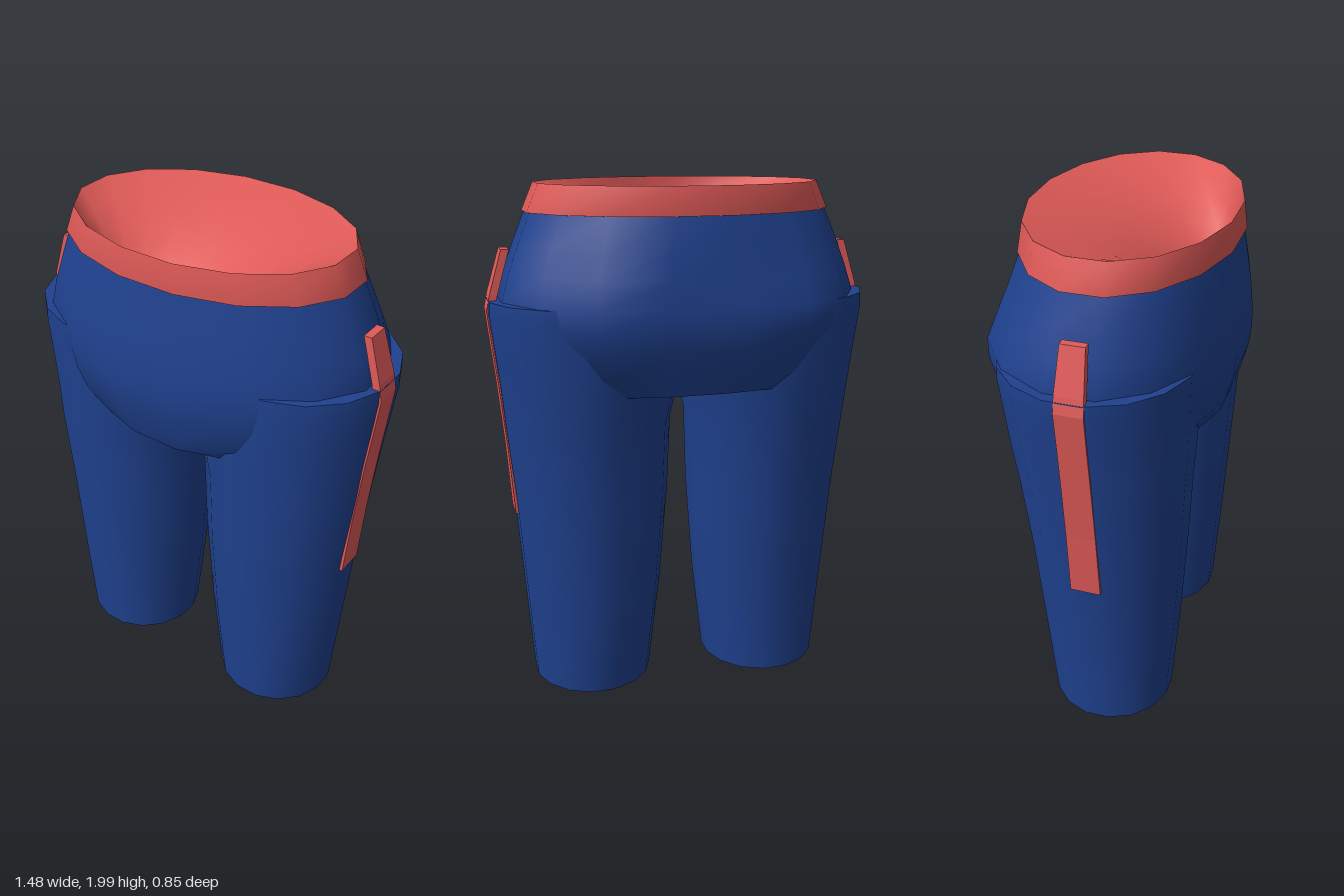
import * as THREE from 'three';

const SIDES = 16;

// Smooth surface through oval sections: [y, xMin, xMax, zBack, zFront, tilt, flatBack]
// tilt lifts the front edge; flatBack > 1 widens and flattens the back of the oval
// caps are separate so their edges stay sharp
function loft(sections, { capTop = false, capBottom = false } = {}) {
  const pos = [], index = [];
  const ring = ([y, x0, x1, z0, z1, tilt = 0, flatBack = 1]) => {
    const k = 1 / Math.cos(Math.PI / SIDES);
    for (let i = 0; i < SIDES; i++) {
      const a = ((i + 0.5) / SIDES) * Math.PI * 2;
      const c = Math.cos(a) * k;
      let s = Math.sin(a) * k;
      if (s < 0) s = Math.max(-1, s * flatBack);
      pos.push((x0 + x1) / 2 + (c * (x1 - x0)) / 2, y + tilt * s, (z0 + z1) / 2 + (s * (z1 - z0)) / 2);
    }
  };
  sections.forEach(ring);
  for (let j = 0; j < sections.length - 1; j++) {
    for (let i = 0; i < SIDES; i++) {
      const n = (i + 1) % SIDES, p = j * SIDES, q = p + SIDES;
      index.push(p + i, q + i, p + n, p + n, q + i, q + n);
    }
  }
  const cap = (section, up) => {
    const base = pos.length / 3;
    ring(section);
    for (let i = 1; i < SIDES - 1; i++) {
      index.push(base, base + (up ? i + 1 : i), base + (up ? i : i + 1));
    }
  };
  if (capBottom) cap(sections[0], false);
  if (capTop) cap(sections[sections.length - 1], true);
  const g = new THREE.BufferGeometry();
  g.setAttribute('position', new THREE.Float32BufferAttribute(pos, 3));
  g.setIndex(index);
  g.computeVertexNormals();
  return g;
}

// Bent strip with a rectangular section: rows of [y, outerX, zBack, zFront]
function strip(rows, thickness) {
  const pos = [], index = [];
  for (const [y, x, z0, z1] of rows) {
    pos.push(x, y, z0, x, y, z1, x - thickness, y, z1, x - thickness, y, z0);
  }
  for (let j = 0; j < rows.length - 1; j++) {
    for (let i = 0; i < 4; i++) {
      const n = (i + 1) % 4, p = j * 4, q = p + 4;
      index.push(p + i, q + i, p + n, p + n, q + i, q + n);
    }
  }
  const e = (rows.length - 1) * 4;
  index.push(0, 1, 2, 0, 2, 3, e, e + 2, e + 1, e, e + 3, e + 2);
  const indexed = new THREE.BufferGeometry();
  indexed.setAttribute('position', new THREE.Float32BufferAttribute(pos, 3));
  indexed.setIndex(index);
  const g = indexed.toNonIndexed();
  g.computeVertexNormals();
  return g;
}

// Mirror across x = 0, keeping faces outward
function mirrorX(geometry) {
  const g = geometry.index ? geometry.toNonIndexed() : geometry.clone();
  g.scale(-1, 1, 1);
  for (const name of ['position', 'normal']) {
    const a = g.attributes[name];
    for (let t = 0; t < a.count; t += 3) {
      const b = [a.getX(t + 1), a.getY(t + 1), a.getZ(t + 1)];
      a.setXYZ(t + 1, a.getX(t + 2), a.getY(t + 2), a.getZ(t + 2));
      a.setXYZ(t + 2, ...b);
    }
  }
  return g;
}

export function createModel() {
  const model = new THREE.Group();
  model.name = 'trousers';
  const blue = new THREE.MeshStandardMaterial({ name: 'blue cloth', color: 0x1f418e, side: THREE.DoubleSide });
  const red = new THREE.MeshStandardMaterial({ name: 'red trim', color: 0xde5a57, side: THREE.DoubleSide });
  const add = (name, geometry, material) => {
    const mesh = new THREE.Mesh(geometry, material);
    mesh.name = name;
    model.add(mesh);
  };
  const even = (y, x, z0, z1, flatBack) => [y, -x, x, z0, z1, 0, flatBack];

  // Hips, bulging over the legs and ending in a flat crotch
  add('hips', loft([
    even(1.25, 0.49, -0.355, 0.37, 1.1),
    even(1.32, 0.6, -0.377, 0.395, 1.13),
    even(1.42, 0.655, -0.408, 0.42, 1.16),
    even(1.5, 0.68, -0.425, 0.428, 1.2),
    even(1.58, 0.69, -0.422, 0.425, 1.2),
    even(1.68, 0.66, -0.405, 0.415, 1.12),
    even(1.78, 0.622, -0.39, 0.4, 1.05),
    even(1.9, 0.572, -0.362, 0.382),
  ], { capBottom: true }), blue);

  // Waistband
  add('waistband', loft([
    even(1.895, 0.565, -0.355, 0.375),
    even(1.897, 0.583, -0.37, 0.39),
    even(2, 0.538, -0.357, 0.378),
  ]), red);

  // Lining, sinking towards the front
  add('waistLining', loft([
    even(2, 0.538, -0.357, 0.378),
    even(1.96, 0.44, -0.22, 0.378),
    even(1.91, 0.34, -0.08, 0.376),
    even(1.84, 0.24, 0.06, 0.38),
    even(1.74, 0.15, 0.19, 0.388),
    even(1.62, 0.07, 0.3, 0.396),
    even(1.52, 0.001, 0.385, 0.387),
  ]), red);

  // Legs, open at the hem
  const leg = loft([
    [0.013, 0.13, 0.6, -0.21, 0.27, 0.007],
    [0.4, 0.085, 0.63, -0.245, 0.295],
    [0.8, 0.055, 0.66, -0.28, 0.315],
    [1.1, 0.045, 0.69, -0.31, 0.328],
    [1.25, 0.012, 0.703, -0.335, 0.334],
    [1.4, 0, 0.72, -0.35, 0.338],
    [1.53, 0, 0.735, -0.362, 0.34],
    [1.58, 0, 0.733, -0.362, 0.34],
  ], { capTop: true });
  add('leftLeg', leg, blue);
  add('rightLeg', mirrorX(leg), blue);

  // Side stripes, standing free of the hips at the top
  const stripe = strip([
    [0.735, 0.666, -0.035, 0.08],
    [1, 0.685, -0.037, 0.074],
    [1.25, 0.709, -0.039, 0.069],
    [1.4, 0.726, -0.04, 0.066],
    [1.54, 0.741, -0.042, 0.064],
    [1.6, 0.728, -0.042, 0.062],
    [1.765, 0.678, -0.034, 0.055],
  ], 0.03);
  add('leftStripe', stripe, red);
  add('rightStripe', mirrorX(stripe), red);

  return model;
}
